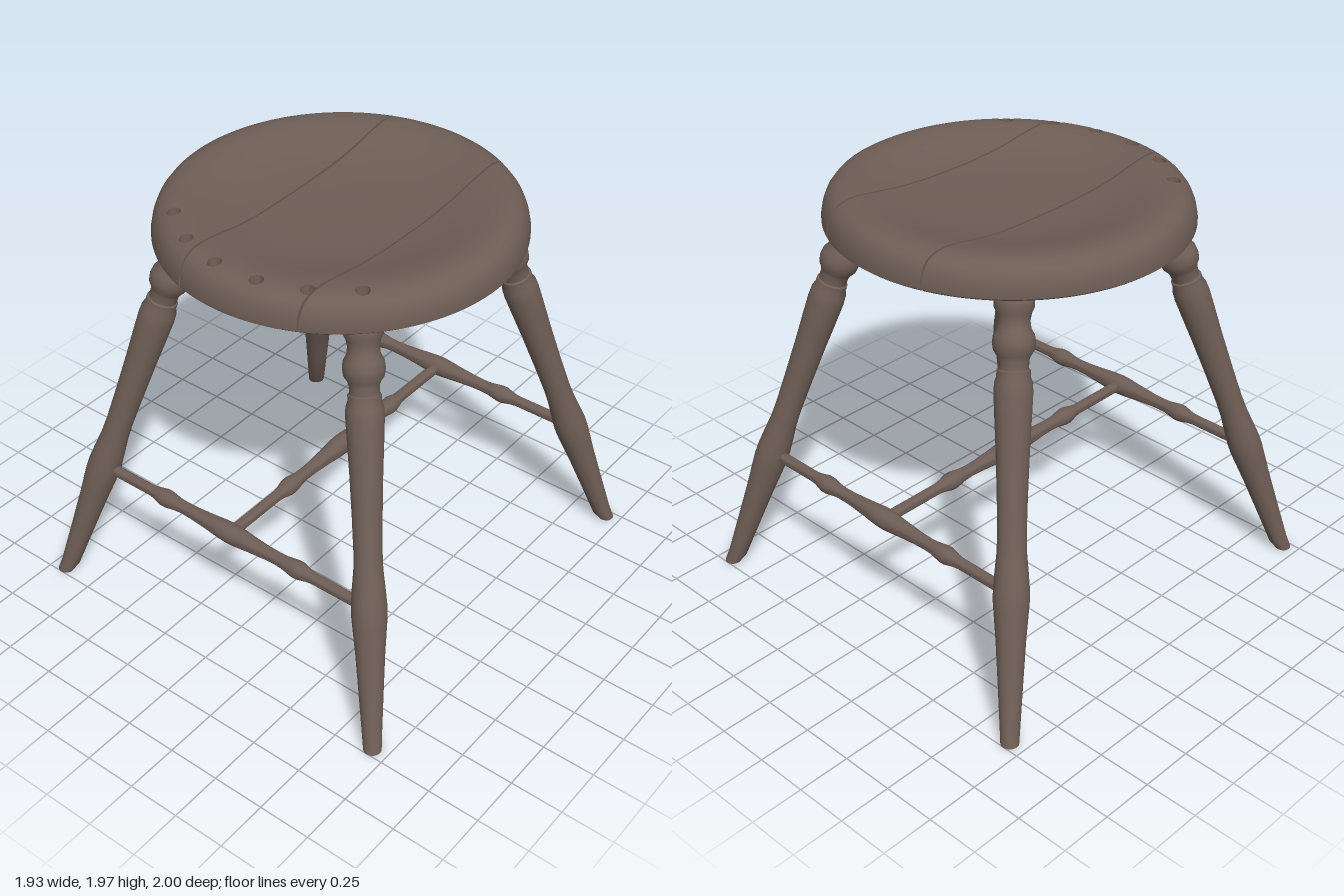
import * as THREE from 'three';
import { toCreasedNormals } from 'three/addons/utils/BufferGeometryUtils.js';

const wood = new THREE.MeshStandardMaterial({ color: 0x6d5d55, side: THREE.DoubleSide });
wood.name = 'dark brown wood';

// Seat heights as [radius, y]
const TOP = [[0, 1.908], [0.25, 1.91], [0.38, 1.917], [0.48, 1.931], [0.56, 1.949], [0.62, 1.96], [0.67, 1.966],
  [0.71, 1.965], [0.745, 1.957], [0.77, 1.942], [0.79, 1.915], [0.802, 1.885], [0.81, 1.845]];
const BOTTOM = [[0, 1.79], [0.52, 1.792], [0.6, 1.797], [0.66, 1.804], [0.75, 1.812], [0.795, 1.816], [0.81, 1.828]];
const SEGMENTS = 288;

function heightAt(profile, r) {
  for (let i = 1; i < profile.length; i++) {
    const [r0, y0] = profile[i - 1], [r1, y1] = profile[i];
    if (r <= r1) return y0 + (y1 - y0) * (r - r0) / (r1 - r0);
  }
  return profile[profile.length - 1][1];
}
const tilt = (z) => -0.011 * z;

function lathe(points, segments, crease = 0.6) {
  const g = new THREE.LatheGeometry(points.map(([r, y]) => new THREE.Vector2(r, y)), segments);
  return toCreasedNormals(g, crease);
}

function add(parent, name, geometry) {
  const mesh = new THREE.Mesh(geometry, wood);
  mesh.name = name;
  parent.add(mesh);
  return mesh;
}

// Whole dished seat, with sockets sunk along the front rim
function seatTriangles() {
  const step = 0.0155;
  const rows = (profile, holeR) => {
    const rs = profile.map((p) => p[0]).filter((r) => Math.abs(r - holeR) > 2.4 * step);
    for (let s = -2; s <= 2; s++) rs.push(holeR + s * step);
    return rs.sort((a, b) => a - b);
  };
  const low = rows(BOTTOM, 0.66), high = rows(TOP, 0.71).reverse();
  const pts = [...low.map((r) => new THREE.Vector2(r, heightAt(BOTTOM, r))),
    ...high.map((r) => new THREE.Vector2(r, heightAt(TOP, r)))];
  const g = new THREE.LatheGeometry(pts, SEGMENTS);
  const pos = g.attributes.position;
  const sockets = [
    { profile: BOTTOM, r: 0.66, j: low.indexOf(0.66), dir: 1, depth: 0.04 },
    { profile: TOP, r: 0.71, j: low.length + high.indexOf(0.71), dir: -1, depth: -0.05 },
  ];
  for (const { profile, r, j, dir, depth } of sockets) {
    for (let k = 0; k < 6; k++) {
      const i0 = (14 * k - 34 + SEGMENTS) % SEGMENTS;
      const phi = i0 / SEGMENTS * Math.PI * 2;
      for (let s = -2; s <= 2; s++) for (let t = -2; t <= 2; t++) {
        // square block of the grid becomes a round hole
        const m = Math.max(Math.abs(s), Math.abs(t));
        const f = [0, 0.028, 0.031][m] / (Math.hypot(s, t) || 1);
        const a = r + s * f, b = t * f;
        const y = heightAt(profile, Math.hypot(a, b)) + (m < 2 ? depth : 0);
        pos.setXYZ((i0 + t) * pts.length + j + s * dir,
          a * Math.sin(phi) + b * Math.cos(phi), y, a * Math.cos(phi) - b * Math.sin(phi));
      }
    }
  }
  const flat = g.toNonIndexed().attributes.position;
  const tris = [];
  for (let i = 0; i < flat.count; i += 3) {
    tris.push([0, 1, 2].map((n) => new THREE.Vector3().fromBufferAttribute(flat, i + n)));
  }
  return tris;
}

// Seams between boards: x = a + b * z
const SEAMS = [{ a: -0.237, b: 0.016 }, { a: 0.358, b: -0.009 }];
const HALF_GAP = 0.005;

// Keep the triangles on one side of a seam
function clip(tris, seam, side) {
  const dist = (p) => side * (p.x - seam.a - seam.b * p.z) - HALF_GAP;
  const out = [];
  for (const tri of tris) {
    const poly = [];
    tri.forEach((p, i) => {
      const q = tri[(i + 1) % 3], dp = dist(p), dq = dist(q);
      if (dp >= 0) poly.push(p);
      if ((dp >= 0) !== (dq >= 0)) poly.push(p.clone().lerp(q, dp / (dp - dq)));
    });
    for (let i = 2; i < poly.length; i++) out.push([poly[0], poly[i - 1], poly[i]]);
  }
  return out;
}

// Sawn face of a board along a seam
function sawnFace(seam, side) {
  const a = seam.a + side * HALF_GAP, tris = [], n = 48;
  const zMax = Math.sqrt(0.81 ** 2 - a * a) - 0.003;
  const at = (profile, z) => {
    const x = a + seam.b * z;
    return new THREE.Vector3(x, heightAt(profile, Math.hypot(x, z)), z);
  };
  for (let i = 0; i < n; i++) {
    const z0 = -zMax * Math.cos(Math.PI * i / n), z1 = -zMax * Math.cos(Math.PI * (i + 1) / n);
    const p = at(BOTTOM, z0), q = at(BOTTOM, z1), r = at(TOP, z1), s = at(TOP, z0);
    tris.push(...(side > 0 ? [[p, q, r], [p, r, s]] : [[p, r, q], [p, s, r]]));
  }
  return tris;
}

function boardGeometry(tris) {
  const data = [];
  for (const tri of tris) for (const p of tri) data.push(p.x, p.y + tilt(p.z), p.z);
  const g = new THREE.BufferGeometry();
  g.setAttribute('position', new THREE.Float32BufferAttribute(data, 3));
  return toCreasedNormals(g, 0.6);
}

// Turned leg: radius against vertical height
const LEG = [[0, -0.025], [0.04, -0.025], [0.043, 0.05], [0.054, 0.25], [0.064, 0.42], [0.073, 0.53], [0.077, 0.58],
  [0.077, 0.63], [0.071, 0.7], [0.063, 0.78], [0.061, 0.86], [0.064, 1.0], [0.07, 1.18], [0.077, 1.32], [0.081, 1.41],
  [0.079, 1.45], [0.07, 1.475], [0.07, 1.5], [0.062, 1.505], [0.064, 1.54], [0.07, 1.555], [0.084, 1.575], [0.089, 1.605],
  [0.085, 1.635], [0.07, 1.66], [0.066, 1.69], [0.072, 1.72], [0.083, 1.74], [0.083, 1.765], [0.074, 1.77], [0.074, 1.82], [0, 1.82]];

function legGeometry(sx, sz) {
  const foot = new THREE.Vector3(0.92 * sx, 0, 0.957 * sz);
  const axis = new THREE.Vector3(0.48 * sx, 1.8, 0.472 * sz).sub(foot);
  const stretch = axis.length() / 1.8;
  const g = lathe(LEG.map(([r, y]) => [r, y * stretch]), 32, 0.7);
  g.applyQuaternion(new THREE.Quaternion().setFromUnitVectors(new THREE.Vector3(0, 1, 0), axis.normalize()));
  g.translate(foot.x, 0, foot.z);
  // level the foot on the floor
  const pos = g.attributes.position;
  for (let i = 0; i < pos.count; i++) if (pos.getY(i) < 0) pos.setY(i, 0);
  return toCreasedNormals(g, 0.7);
}

// Turned stretcher: mirrored half profile
const HALF_RUNG = [[0.026, 0.78], [0.026, 0.47], [0.03, 0.44], [0.041, 0.395], [0.041, 0.37], [0.031, 0.31],
  [0.029, 0.27], [0.031, 0.21], [0.038, 0.12], [0.046, 0.04]];
function rungGeometry() {
  const half = HALF_RUNG.map(([r, y]) => [r, -y]);
  return lathe([...half, [0.048, 0], ...[...HALF_RUNG].reverse()], 24);
}

export function createModel() {
  const stool = new THREE.Group();
  stool.name = 'stool';

  // Seat of three boards
  const seat = new THREE.Group();
  seat.name = 'seat';
  stool.add(seat);
  const whole = seatTriangles(), [s0, s1] = SEAMS;
  add(seat, 'rightBoard', boardGeometry([...clip(whole, s0, -1), ...sawnFace(s0, -1)]));
  add(seat, 'middleBoard', boardGeometry([...clip(clip(whole, s0, 1), s1, -1), ...sawnFace(s0, 1), ...sawnFace(s1, -1)]));
  add(seat, 'leftBoard', boardGeometry([...clip(whole, s1, 1), ...sawnFace(s1, 1)]));

  // Splayed legs
  for (const sz of [1, -1]) for (const sx of [1, -1]) {
    add(stool, (sz > 0 ? 'front' : 'back') + (sx > 0 ? 'Left' : 'Right') + 'Leg', legGeometry(sx, sz));
  }

  // Stretchers in an H
  for (const sz of [1, -1]) {
    const rung = add(stool, sz > 0 ? 'frontStretcher' : 'backStretcher', rungGeometry());
    rung.rotation.z = Math.PI / 2;
    rung.position.set(0, 0.61, 0.79 * sz);
  }
  const middle = add(stool, 'middleStretcher', rungGeometry());
  middle.rotation.x = Math.PI / 2;
  middle.position.y = 0.61;
  return stool;
}
